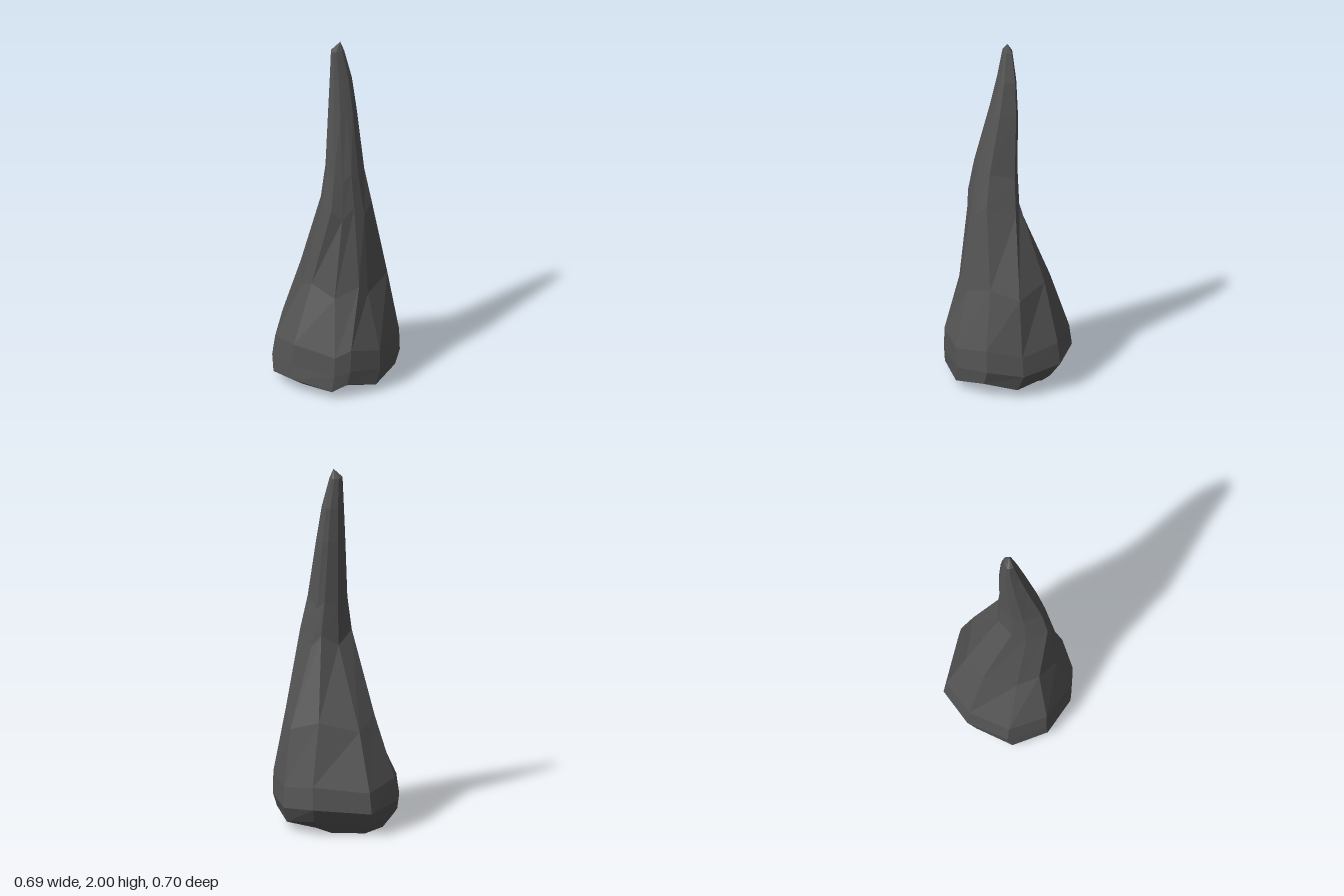
import * as THREE from 'three';

// Ten-sided outlines as [x, z], running from the left side round by the front
const FOOT = [[.15, -.05], [.14, .07], [.08, .15], [0, .18], [-.07, .18],
  [-.2, .12], [-.27, 0], [-.2, -.15], [-.07, -.24], [.1, -.18]];
const BASE = [[.34, -.07], [.335, .13], [.195, .29], [.02, .348], [-.07, .343],
  [-.28, .21], [-.345, 0], [-.26, -.22], [-.07, -.35], [.24, -.272]];
const WAIST = [[.295, -.05], [.27, .11], [.14, .23], [.085, .26], [-.05, .262],
  [-.16, .17], [-.19, .05], [-.16, -.13], [-.04, -.23], [.18, -.19]];
const NECK = [[.17, -.035], [.18, .125], [.13, .18], [.07, .2], [0, .22],
  [-.06, .215], [-.095, .1], [-.08, .02], [.02, -.055], [.12, -.055]];

// Place an outline at a height, with an optional alternating wobble
const ring = (outline, y, wobble = 0) =>
  outline.map(([x, z], i) => [x, y + (i % 2 ? wobble : -wobble), z]);

// Stretch an outline to fill the given x and z limits
function fit(outline, x0, x1, z0, z1) {
  const range = (k) => {
    const v = outline.map((p) => p[k]);
    return [Math.min(...v), Math.max(...v)];
  };
  const [a, b] = range(0), [c, d] = range(1);
  return outline.map(([x, z]) => [
    x0 + (x - a) / (b - a) * (x1 - x0),
    z0 + (z - c) / (d - c) * (z1 - z0),
  ]);
}

// Skin the rings with triangles, closing the foot and the tip
function skin(rings, bottom, tip) {
  const pos = [], n = rings[0].length;
  const tri = (...p) => p.forEach((v) => pos.push(...v));
  for (let i = 0; i < n; i++) {
    const j = (i + 1) % n;
    for (let r = 0; r < rings.length - 1; r++) {
      const lo = rings[r], hi = rings[r + 1];
      tri(lo[i], hi[i], lo[j]);
      tri(lo[j], hi[i], hi[j]);
    }
    tri(bottom, rings[0][i], rings[0][j]);
    const top = rings[rings.length - 1];
    tri(top[i], tip, top[j]);
  }
  const geo = new THREE.BufferGeometry();
  geo.setAttribute('position', new THREE.Float32BufferAttribute(pos, 3));
  geo.computeVertexNormals();
  return geo;
}

export function createModel() {
  const stone = new THREE.MeshStandardMaterial({ color: 0x555555, flatShading: true });
  stone.name = 'dark stone';

  const rings = [
    ring(FOOT, 0),
    ring(fit(BASE, -.343, .31, -.29, .343), .065, .02),
    ring(BASE, .15, .015),
    ring(fit(BASE, -.33, .335, -.335, .347), .27, .02),
    ring(WAIST, .6, .03),
    ring(NECK, 1.05, .03),
    // narrowing spire
    ring(fit(NECK, -.065, .143, -.047, .187), 1.25, .02),
    ring(fit(NECK, -.042, .113, -.05, .103), 1.6),
    ring(fit(NECK, -.03, .09, -.042, .06), 1.79),
    ring(fit(NECK, -.022, .05, -.022, .03), 1.95),
  ];

  const spire = new THREE.Mesh(skin(rings, [-.06, 0, -.03], [.03, 2, .005]), stone);
  spire.name = 'rockSpire';

  const group = new THREE.Group();
  group.name = 'rock';
  group.add(spire);
  return group;
}
